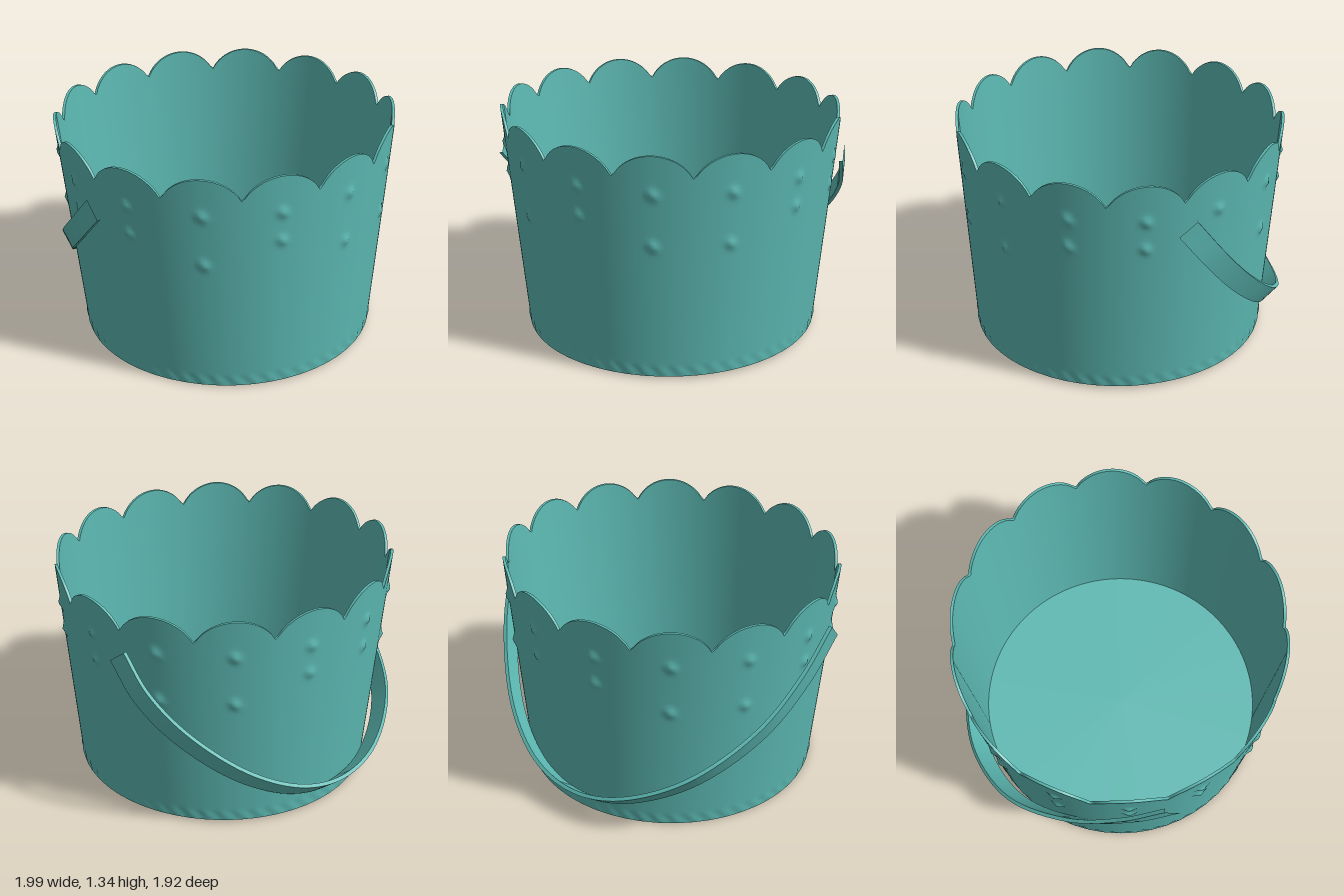
import * as THREE from 'three';
import { toCreasedNormals } from 'three/addons/utils/BufferGeometryUtils.js';

const SCALLOPS = 14, STEP = 2 * Math.PI / SCALLOPS, NOTCH = 0.06;
const COLS = SCALLOPS * 24, WALL = 0.016;
const lerp = THREE.MathUtils.lerp;

// Closed loft: at(row, col) gives the point; columns wrap around
function loft(rows, cols, at) {
  const pos = [], index = [];
  for (let r = 0; r <= rows; r++)
    for (let c = 0; c < cols; c++) pos.push(...at(r, c).toArray());
  for (let r = 0; r < rows; r++)
    for (let c = 0; c < cols; c++) {
      const a = r * cols + c, b = r * cols + (c + 1) % cols;
      index.push(a, b, a + cols, b, b + cols, a + cols);
    }
  const g = new THREE.BufferGeometry();
  g.setAttribute('position', new THREE.Float32BufferAttribute(pos, 3));
  g.setIndex(index);
  g.computeVertexNormals();
  return g;
}

// Height of the scalloped rim: a circular arc between notches
function rimY(theta) {
  const k = (theta - NOTCH) / STEP;
  const u = (k - Math.floor(k)) * 2 - 1;
  const R = 0.239;
  return 1.34 - R + Math.sqrt(R * R - (0.215 * u) ** 2);
}

// Point on the slightly oval, flared wall
function wallPoint(theta, y, offset = 0, shrink = 1) {
  const f = y / 1.34;
  const a = (lerp(0.868, 0.995, f) + offset) * shrink;
  const b = (lerp(0.87, 0.947, f) + offset) * shrink;
  const x = lerp(0.013, 0, f) + a * Math.sin(theta);
  const z = lerp(0.015, 0.004, f) + b * Math.cos(theta);
  // the base sits very slightly tilted
  return new THREE.Vector3(x, y + 0.012 * x * (1 - f), z);
}

// Embossed studs: two under each scallop, the lower one at varying height
const LOW = [0.95, 0.82, 0.82, 0.95];
function emboss(theta, y) {
  const k = Math.floor((theta - NOTCH) / STEP) + 1;
  const centre = NOTCH + (k - 0.5) * STEP;
  const i = (k + SCALLOPS) % SCALLOPS;
  const low = i === 13 ? 0.82 : LOW[i % 4];
  let d = 0;
  for (const h of [1.12, low]) {
    const r2 = ((theta - centre) * 0.95) ** 2 + (y - h) ** 2;
    d += 0.018 * Math.exp(-r2 / 0.0007);
  }
  // fine beading around the foot
  const foot = Math.exp(-(((y - 0.045) / 0.02) ** 2));
  return d + foot * 0.005 * Math.cos(theta * 56);
}

export function createModel() {
  const model = new THREE.Group();
  const teal = new THREE.MeshStandardMaterial({ color: 0x5cb8b2 });
  const add = (name, geometry, parent = model) => {
    const mesh = new THREE.Mesh(geometry, teal);
    mesh.name = name;
    parent.add(mesh);
    return mesh;
  };
  const ang = c => c / COLS * 2 * Math.PI;
  const BASE = 0.012, FLOOR = 0.05;

  // Bucket shell
  add('outerWall', loft(64, COLS, (r, c) => {
    const t = ang(c), y = lerp(BASE, rimY(t), r / 64);
    return wallPoint(t, y, emboss(t, y));
  }));
  add('rimEdge', loft(1, COLS, (r, c) => wallPoint(ang(c), rimY(ang(c)), -WALL * r)));
  add('innerWall', loft(12, COLS, (r, c) =>
    wallPoint(ang(c), lerp(rimY(ang(c)), FLOOR, r / 12), -WALL)));
  add('innerFloor', loft(1, COLS, (r, c) => wallPoint(ang(c), FLOOR, -WALL, 1 - r)));
  add('underside', loft(1, COLS, (r, c) => wallPoint(ang(c), BASE, 0, r)));

  // Carrying strap, hanging down around the back
  const path = new THREE.CatmullRomCurve3([
    [0.965, 1.07, -0.27], [0.93, 0.87, -0.42], [0.79, 0.63, -0.59], [0.51, 0.36, -0.79],
    [0.2, 0.2, -0.9], [-0.1, 0.15, -0.915], [-0.4, 0.2, -0.845], [-0.72, 0.36, -0.62],
    [-0.91, 0.59, -0.25], [-0.965, 0.83, 0.06], [-0.965, 1.05, 0.3],
  ].map(p => new THREE.Vector3(...p)));
  const across = new THREE.Vector3(-0.15, 0.66, -0.74).normalize();
  const corners = [[1, 1], [1, -1], [-1, -1], [-1, 1]];
  const strap = loft(80, 4, (r, c) => {
    const t = path.getTangent(r / 80);
    const w = across.clone().addScaledVector(t, -across.dot(t)).normalize();
    const s = new THREE.Vector3().crossVectors(t, w);
    return path.getPoint(r / 80)
      .addScaledVector(s, corners[c][0] * 0.011)
      .addScaledVector(w, corners[c][1] * 0.064);
  });
  add('strap', toCreasedNormals(strap, 0.7));

  // Rounded strap ends with rivets
  const pivots = [
    ['leftPivot', path.getPoint(0), new THREE.Vector3(1, 0, -0.15)],
    ['rightPivot', path.getPoint(1), new THREE.Vector3(-1, 0, 0.15)],
  ];
  for (const [name, at, out] of pivots) {
    const pivot = new THREE.Group();
    pivot.name = name;
    pivot.position.copy(at);
    pivot.quaternion.setFromUnitVectors(new THREE.Vector3(0, 0, 1), out.normalize());
    add('strapEnd', new THREE.CylinderGeometry(0.07, 0.07, 0.03, 32).rotateX(Math.PI / 2), pivot);
    add('rivetRing', new THREE.TorusGeometry(0.04, 0.009, 8, 28), pivot).position.z = 0.014;
    add('rivetHead', new THREE.SphereGeometry(0.026, 20, 12).scale(1, 1, 0.75), pivot).position.z = 0.014;
    add('rivetPin', new THREE.CylinderGeometry(0.025, 0.025, 0.06, 16).rotateX(Math.PI / 2), pivot).position.z = -0.025;
  }
  return model;
}
